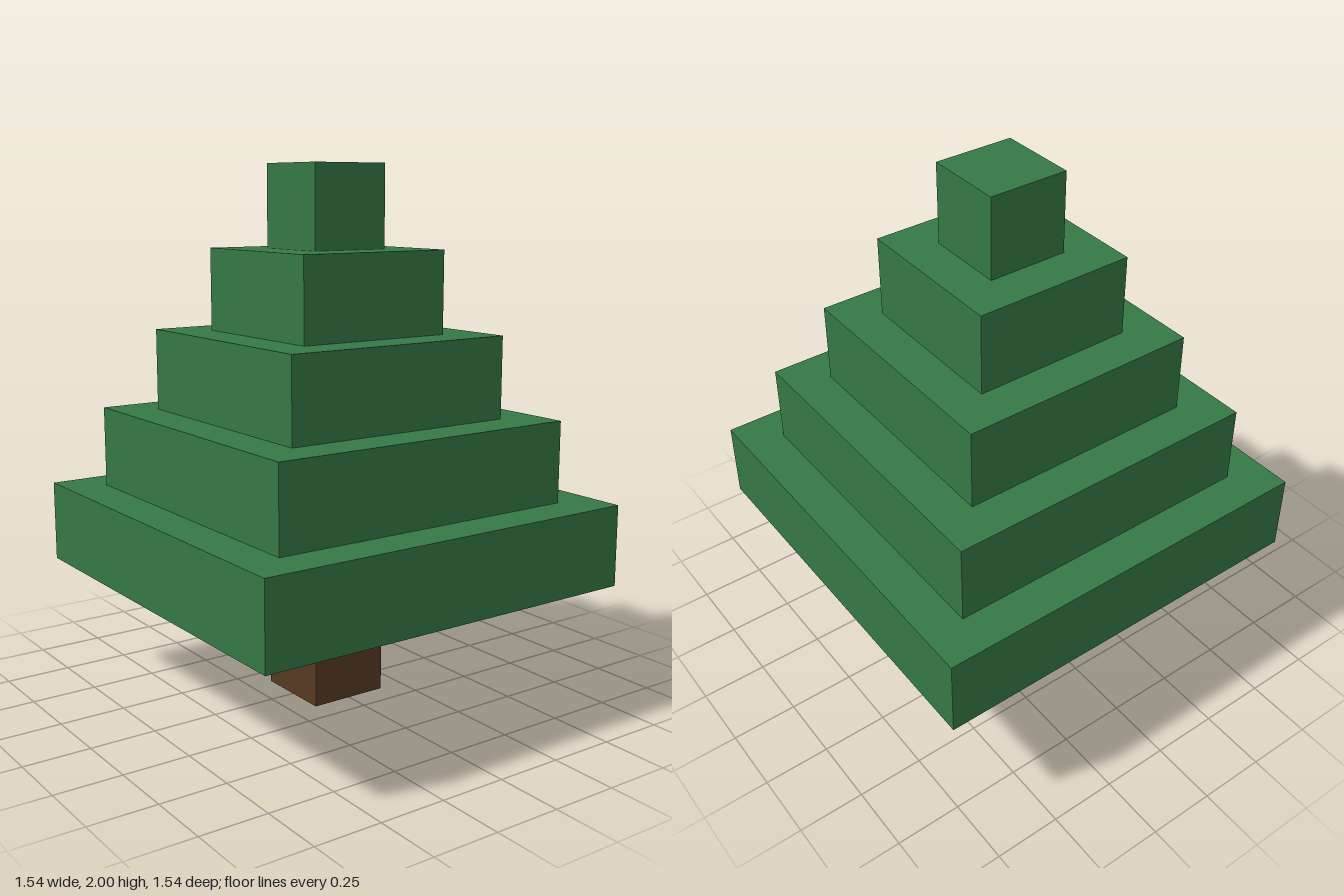
import * as THREE from 'three';

const UNIT = 4 / 13; // tier height, and the width step between tiers
const TRUNK_HEIGHT = 1.5 * UNIT;
const TIERS = 5;

export function createModel() {
  const tree = new THREE.Group();
  tree.name = 'tree';

  const leafGreen = new THREE.MeshStandardMaterial({ color: 0x357846 });
  leafGreen.name = 'leafGreen';
  const barkBrown = new THREE.MeshStandardMaterial({ color: 0x573a22 });
  barkBrown.name = 'barkBrown';

  // Square block standing on the given height
  const addBlock = (name, width, height, bottom, material) => {
    const mesh = new THREE.Mesh(new THREE.BoxGeometry(width, height, width), material);
    mesh.name = name;
    mesh.position.y = bottom + height / 2;
    tree.add(mesh);
  };

  // Trunk
  addBlock('trunk', UNIT, TRUNK_HEIGHT, 0, barkBrown);

  // Foliage tiers, narrowing towards the top
  for (let i = 0; i < TIERS; i++) {
    addBlock(`foliageTier${i + 1}`, (TIERS - i) * UNIT, UNIT, TRUNK_HEIGHT + i * UNIT, leafGreen);
  }

  return tree;
}
